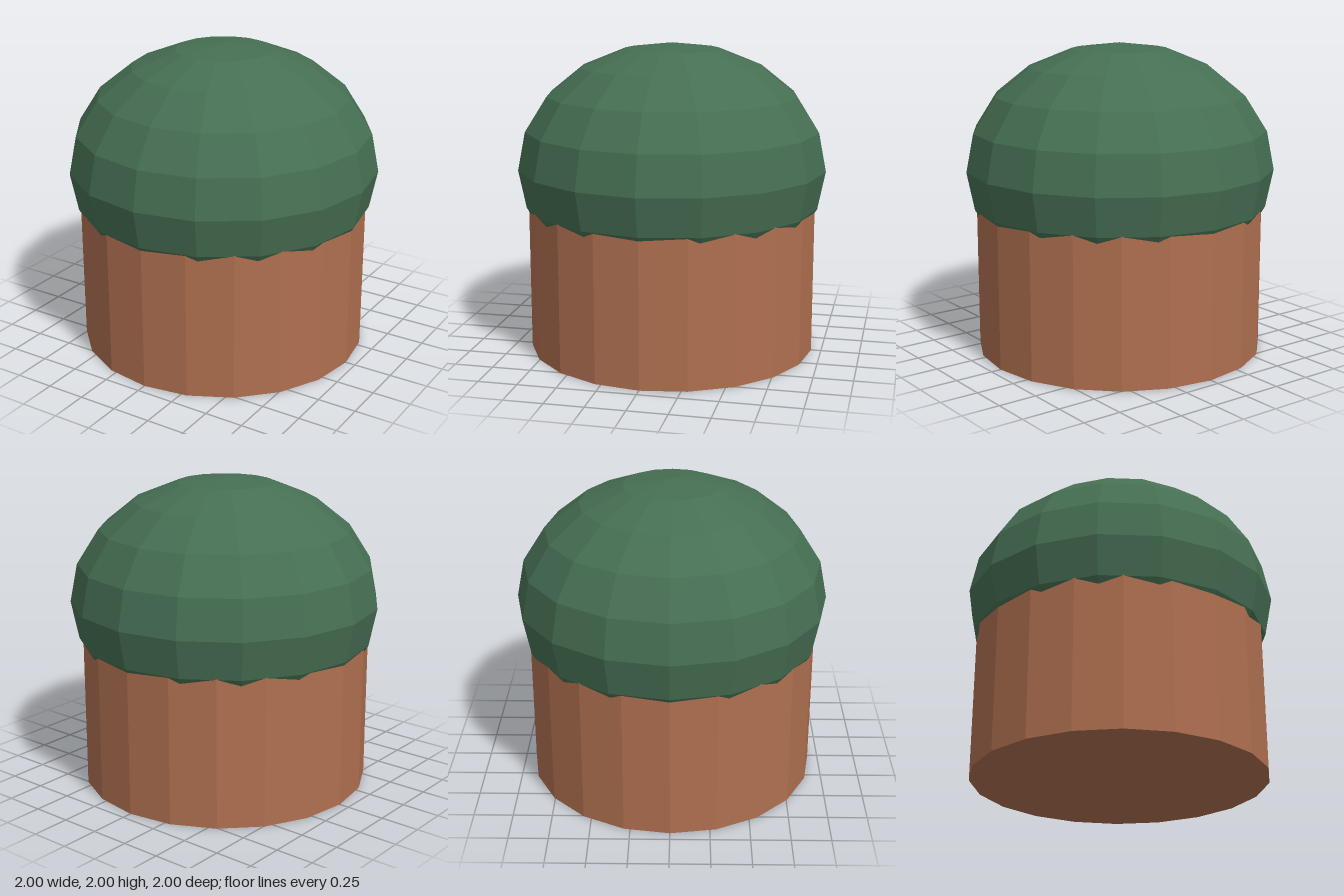
import * as THREE from 'three';

function part(name, geometry, color) {
  const mesh = new THREE.Mesh(geometry, new THREE.MeshStandardMaterial({ color, flatShading: true }));
  mesh.name = name;
  return mesh;
}

export function createModel() {
  const model = new THREE.Group();
  model.name = 'pottedCactus';

  // Straight-sided clay pot, its top hidden inside the plant
  const potHeight = 1.2;
  const pot = part('pot', new THREE.CylinderGeometry(0.935, 0.935, potHeight, 20), 0xb07050);
  pot.position.y = potHeight / 2;

  // Squashed faceted ball resting in the pot
  const plant = part('plant', new THREE.SphereGeometry(1, 16, 10).scale(1, 0.8, 1), 0x466f53);
  plant.position.y = 1.2;

  model.add(pot, plant);
  return model;
}
